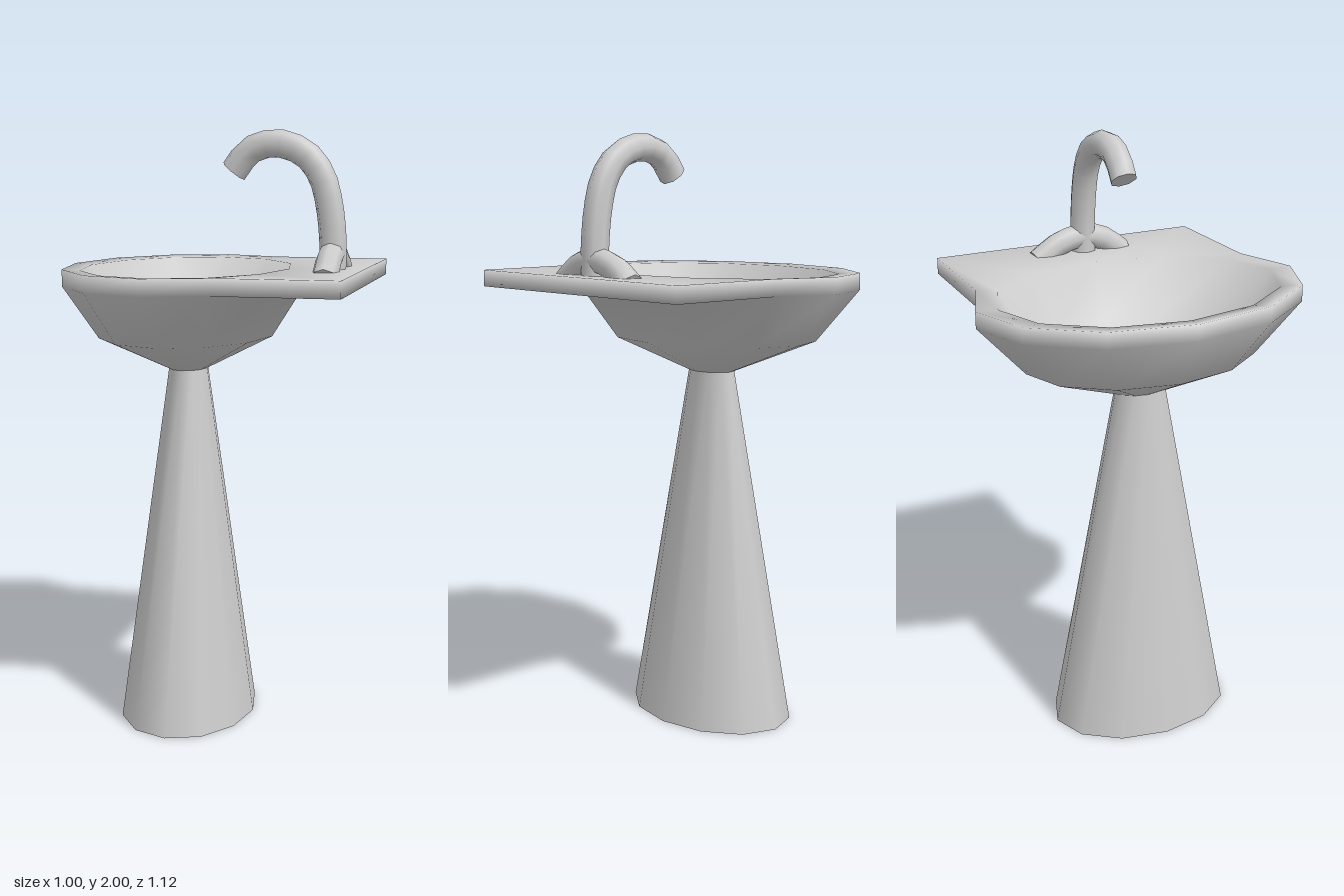
import * as THREE from 'three';
import { mergeVertices, toCreasedNormals } from 'three/addons/utils/BufferGeometryUtils.js';

const SIDES = 12;
const CENTRE_X = -0.1;

// Joins equal-length rings of points into one smooth skin
function loft(rings) {
  const n = rings[0].length;
  const index = [];
  for (let i = 0; i < rings.length - 1; i++) {
    for (let j = 0; j < n; j++) {
      const k = (j + 1) % n;
      const a = i * n + j, b = i * n + k, c = a + n, d = b + n;
      index.push(a, c, b, b, c, d);
    }
  }
  const geometry = new THREE.BufferGeometry().setFromPoints(rings.flat());
  geometry.setIndex(index);
  const merged = mergeVertices(geometry, 1e-4);
  merged.computeVertexNormals();
  return merged;
}

// Twelve-sided oval ring around the basin axis
function oval(rx, rz, y) {
  return Array.from({ length: SIDES }, (_, i) => {
    const a = (i / SIDES) * Math.PI * 2;
    return new THREE.Vector3(CENTRE_X + rx * Math.cos(a), y, rz * Math.sin(a));
  });
}

// Rim ring whose back three corners are pulled out into the square tap ledge
function ledgeRing(y) {
  const ring = oval(0.4, 0.56, y);
  ring[0].set(0.5, y, 0);
  ring[1].set(0.5, y, 0.477);
  ring[11].set(0.5, y, -0.477);
  return ring;
}

// Capped round tube along a planar path with constant sideways direction
function sweep(points, side, radius, steps, sides) {
  const path = new THREE.CatmullRomCurve3(points);
  const rings = [];
  for (let i = 0; i <= steps; i++) {
    const p = path.getPointAt(i / steps);
    const u = path.getTangentAt(i / steps).cross(side).normalize();
    const ring = Array.from({ length: sides }, (_, j) => {
      const a = (j / sides) * Math.PI * 2;
      return p.clone().addScaledVector(u, radius * Math.cos(a)).addScaledVector(side, radius * Math.sin(a));
    });
    const cap = Array.from({ length: sides }, () => p.clone());
    if (i === 0) rings.push(cap);
    rings.push(ring);
    if (i === steps) rings.push(cap);
  }
  return toCreasedNormals(loft(rings), 1.0);
}

export function createModel() {
  const model = new THREE.Group();
  model.name = 'pedestalSink';
  const ceramic = new THREE.MeshStandardMaterial({ color: 0xcccccc, side: THREE.DoubleSide });
  ceramic.name = 'greyCeramic';
  const add = (name, geometry) => {
    const mesh = new THREE.Mesh(geometry, ceramic);
    mesh.name = name;
    model.add(mesh);
  };

  // Tapered pedestal, open underneath
  add('pedestal', loft([oval(0.23, 0.32, 0), oval(0.065, 0.09, 1.21)]));

  // Basin: outer shell, ledge underside, rim, then the hollow inside
  add('basin', loft([
    oval(0.065, 0.09, 1.21),
    oval(0.29, 0.4, 1.325),
    oval(0.4, 0.56, 1.5),
    ledgeRing(1.5),
    ledgeRing(1.555),
    oval(0.345, 0.485, 1.55),
    oval(0.265, 0.37, 1.37),
    oval(0.1, 0.14, 1.27),
    oval(0, 0, 1.26),
  ]));

  // Curved spout rising from the ledge and hooking over the basin
  const spout = [
    [0.393, 1.54], [0.393, 1.65], [0.376, 1.78], [0.35, 1.86],
    [0.295, 1.925], [0.2, 1.956], [0.115, 1.932], [0.062, 1.866],
  ].map(([x, y]) => new THREE.Vector3(x, y, 0.02));
  add('spout', sweep(spout, new THREE.Vector3(0, 0, 1), 0.045, 14, 8));

  // Arched tap base lying across the ledge
  const base = [
    [0.165, 1.53], [0.09, 1.585], [0.02, 1.602], [-0.07, 1.582], [-0.15, 1.53],
  ].map(([z, y]) => new THREE.Vector3(0.393, y, z));
  add('tapBase', sweep(base, new THREE.Vector3(1, 0, 0), 0.043, 8, 8));

  return model;
}
